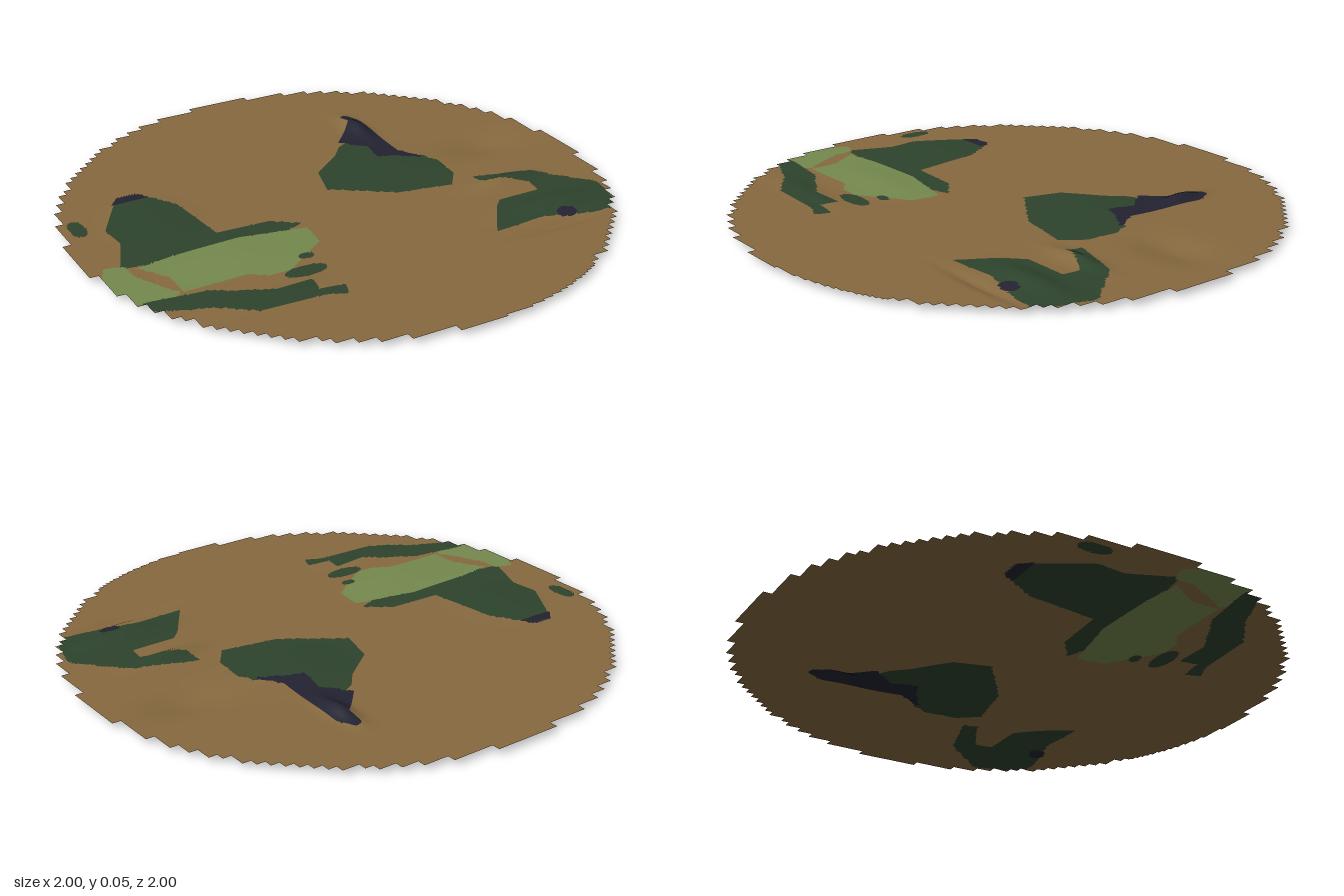
import * as THREE from 'three';

const mat = (name, color) => {
  const m = new THREE.MeshStandardMaterial({ color, side: THREE.DoubleSide });
  m.name = name;
  return m;
};

// Flat regions of the map; later ones lie over earlier ones
const regions = [];

// A coastline given as x, z pairs in hundredths
function coast(kind, ...flat) {
  const points = [];
  for (let i = 0; i < flat.length; i += 2) points.push([flat[i] / 100, flat[i + 1] / 100]);
  regions.push({ kind, points });
}

// An oval islet or patch
function islet(kind, x, z, rx, rz) {
  const points = new THREE.EllipseCurve(x, z, rx, rz).getPoints(12).slice(1).map((p) => [p.x, p.y]);
  regions.push({ kind, points });
}

// Western land with its rocky tip, plains and southern islands
coast('forest', -70, -38, -62, -38, -53, -23, -50, 4, -30, 5, -21, 12, -40, 20, -89, 12, -82, -5, -83, -16);
coast('rock', -74, -33, -70, -38, -62, -38, -59, -33);
coast('plain', -84, 14, -70, 12, -45, 11, -21, 16, -22, 27, -40, 40, -48, 40, -54, 36, -77, 36, -77, 25);
coast('plain', -98, 17, -94, 9, -87, 11, -87, 19, -78, 36, -86, 40, -98, 34);
coast('forest', -92, 36, -70, 39, -50, 50, -37, 49, -38, 56, -29, 57, -31, 63, -38, 60, -61, 59, -74, 50, -90, 43);
islet('forest', -0.36, 0.43, 0.08, 0.035);
islet('forest', -0.31, 0.34, 0.03, 0.02);
islet('forest', -0.91, -0.22, 0.03, 0.065);

// Central land and its rock ridge
coast('forest', 22, -37, 31, -42, 36, -25, 46, -15, 49, -8, 48, 4, 42, 12, 21, 8, 0, -7, 4, -21, 17, -31);
coast('rock', 36, -61, 39, -62, 42, -55, 40, -23, 46, -13, 36, -19, 30, -21, 32, -32, 24, -41, 36, -54);

// Eastern land, hooked around a bay
coast('forest', 52, 10, 74, 17, 90, 36, 85, 56, 73, 55, 54, 50, 35, 51, 46, 35, 50, 31, 67, 31, 68, 24, 53, 17);
islet('rock', 0.65, 0.51, 0.04, 0.03);

// A smooth hill (or hollow) at x, z
const hill = (x, z, rx, rz, h) => (px, pz) => h * Math.exp(-(((px - x) / rx) ** 2) - ((pz - z) / rz) ** 2);

const hills = [
  hill(0.37, -0.5, 0.035, 0.1, 0.026), // ridge
  hill(0.3, -0.15, 0.16, 0.16, 0.009), // central land
  hill(0.72, -0.13, 0.14, 0.09, -0.02), // eastern basin
  hill(0.6, 0.19, 0.12, 0.04, 0.021), // bay shore
  hill(0.65, 0.43, 0.17, 0.06, 0.021), // eastern land
  hill(0.58, 0.57, 0.18, 0.025, -0.012), // southern trench
  hill(-0.65, -0.15, 0.12, 0.16, 0.009), // western land
  hill(-0.5, 0.24, 0.2, 0.1, 0.009), // plains
  hill(-0.55, 0.52, 0.2, 0.05, 0.008), // southern islands
];
const heightAt = (x, z) => hills.reduce((y, f) => y + f(x, z), 0.025);

function inside(points, x, z) {
  let hit = false;
  for (let i = 0, j = points.length - 1; i < points.length; j = i++) {
    const [ax, az] = points[i], [bx, bz] = points[j];
    if (az > z !== bz > z && x < ((bx - ax) * (z - az)) / (bz - az) + ax) hit = !hit;
  }
  return hit;
}

function kindAt(x, z) {
  let kind = 'ground';
  for (const r of regions) if (inside(r.points, x, z)) kind = r.kind;
  return kind;
}

// Pull a grid point onto a coastline that passes close by
function snap(x, z, reach) {
  let best = reach, out = [x, z];
  for (const { points } of regions) {
    for (let i = 0, j = points.length - 1; i < points.length; j = i++) {
      const [ax, az] = points[j], dx = points[i][0] - ax, dz = points[i][1] - az;
      const t = THREE.MathUtils.clamp(((x - ax) * dx + (z - az) * dz) / (dx * dx + dz * dz), 0, 1);
      const px = ax + t * dx, pz = az + t * dz, d = Math.hypot(px - x, pz - z);
      if (d < best) { best = d; out = [px, pz]; }
    }
  }
  return out;
}

export function createModel() {
  const group = new THREE.Group();
  group.name = 'terrainDisc';
  const materials = {
    ground: mat('earth brown', 0x86693f),
    forest: mat('forest green', 0x2d432d),
    plain: mat('meadow green', 0x75894e),
    rock: mat('dark rock', 0x222231),
  };

  // Fine grid; the rim follows coarse square tiles, each split three by three
  const COARSE = 64, SPLIT = 3, N = COARSE * SPLIT, step = 2 / N, tile = 2 / COARSE;
  const positions = [];
  for (let j = 0; j <= N; j++) {
    for (let i = 0; i <= N; i++) {
      const gx = -1 + i * step, gz = -1 + j * step;
      const [x, z] = Math.hypot(gx, gz) < 0.95 ? snap(gx, gz, step * 0.48) : [gx, gz];
      positions.push(x, heightAt(x, z), z);
    }
  }
  const kept = (i, j) => {
    const cx = -1 + (Math.floor(i / SPLIT) + 0.5) * tile, cz = -1 + (Math.floor(j / SPLIT) + 0.5) * tile;
    // one stretch of the front rim is cut smoothly
    if (cx > 0.03 && cx < 0.5 && cz > 0) return Math.hypot(-1 + (i + 0.5) * step, -1 + (j + 0.5) * step) < 0.996;
    return Math.hypot(cx, cz) < 0.992;
  };

  // Sort each triangle into its surface
  const faces = { ground: [], forest: [], plain: [], rock: [] };
  const add = (...tri) => {
    const mid = (k) => tri.reduce((s, v) => s + positions[v * 3 + k], 0) / 3;
    faces[kindAt(mid(0), mid(2))].push(...tri);
  };
  for (let j = 0; j < N; j++) {
    for (let i = 0; i < N; i++) {
      if (!kept(i, j)) continue;
      const a = j * (N + 1) + i, b = a + 1, c = a + N + 1, d = c + 1;
      add(a, c, b);
      add(b, c, d);
    }
  }

  // Shared smooth normals across all surfaces
  const whole = new THREE.BufferGeometry();
  whole.setAttribute('position', new THREE.Float32BufferAttribute(positions, 3));
  whole.setIndex(Object.values(faces).flat());
  whole.computeVertexNormals();

  const names = { ground: 'groundSheet', forest: 'forestLand', plain: 'meadowPlain', rock: 'rockRidges' };
  for (const kind of Object.keys(faces)) {
    const part = new THREE.BufferGeometry();
    part.setAttribute('position', whole.attributes.position);
    part.setAttribute('normal', whole.attributes.normal);
    part.setIndex(faces[kind]);
    const mesh = new THREE.Mesh(part, materials[kind]);
    mesh.name = names[kind];
    group.add(mesh);
  }
  return group;
}
